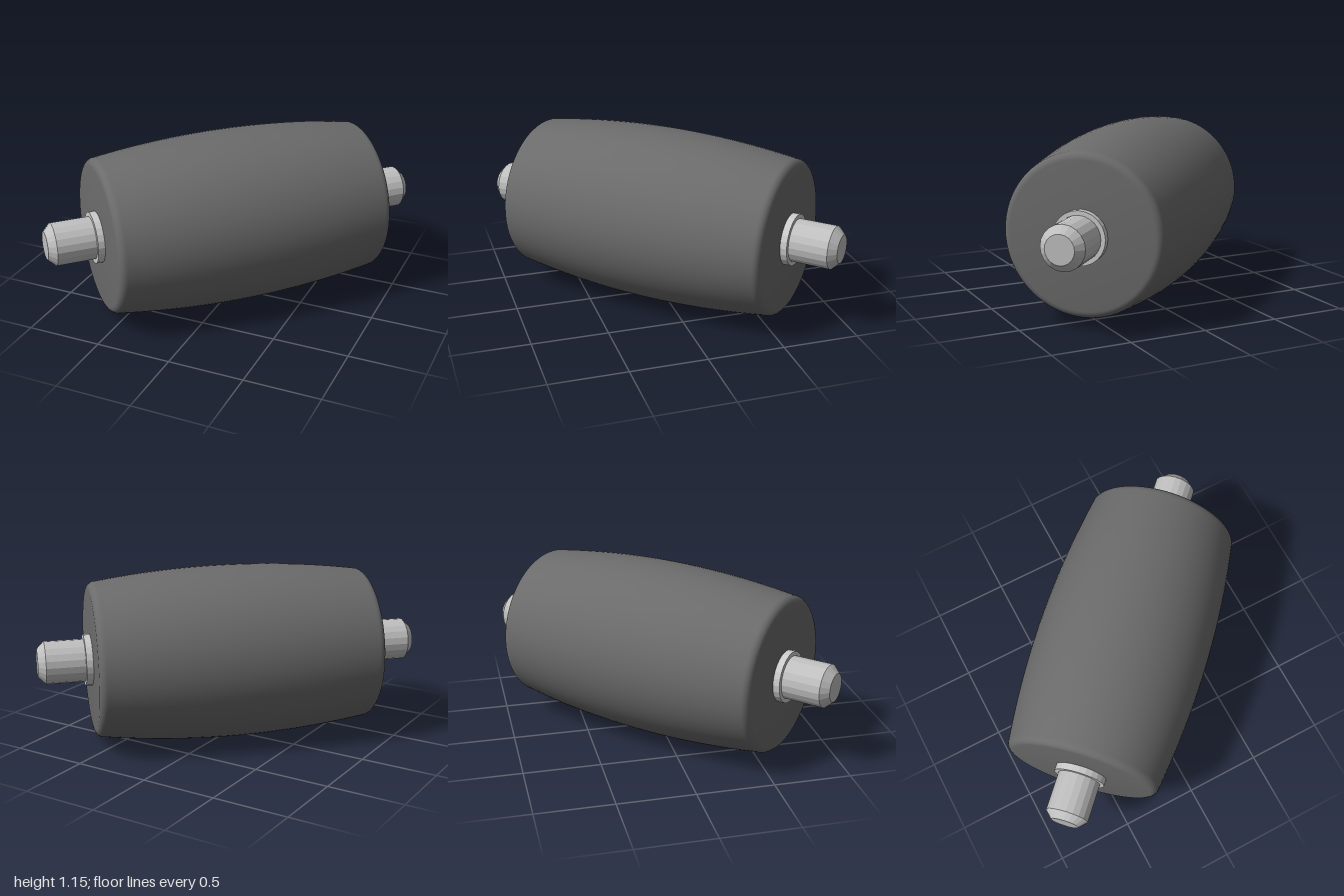
import * as THREE from 'three';
import { toCreasedNormals } from 'three/addons/utils/BufferGeometryUtils.js';

const rubber = new THREE.MeshStandardMaterial({ name: 'dark grey rubber', color: 0x6b6b6b });
const steel = new THREE.MeshStandardMaterial({ name: 'light grey steel', color: 0xc0c0c0 });
const ringSteel = new THREE.MeshStandardMaterial({ name: 'pale collar steel', color: 0xcccccc });

const RADIUS = 0.575;

// Turn a [radius, height] profile, listed from bottom to top, around the y axis
function turned(name, profile, sides, crease, material) {
  const points = profile.map(([r, h]) => new THREE.Vector2(r, h));
  const geometry = toCreasedNormals(new THREE.LatheGeometry(points, sides), crease);
  const mesh = new THREE.Mesh(geometry, material);
  mesh.name = name;
  return mesh;
}

// Upper half of the crowned roller, from the middle to the end face
function rollerHalf() {
  const half = [];
  for (let i = 0; i <= 10; i++) {
    const h = 0.088 * i;
    half.push([RADIUS - 0.084 * h * h, h]);
  }
  // Rounded rim
  const [edge, start] = half[half.length - 1];
  for (let i = 1; i <= 6; i++) {
    const a = (i / 6) * Math.PI / 2;
    half.push([edge - 0.05 * (1 - Math.cos(a)), start + 0.05 * Math.sin(a)]);
  }
  half.push([0, start + 0.05]);
  return half;
}

export function createModel() {
  const model = new THREE.Group();
  model.name = 'crownedRoller';

  const roller = new THREE.Group();
  roller.name = 'roller';
  model.add(roller);

  // Barrel mirrored about its middle
  const half = rollerHalf();
  const lower = half.slice(1).reverse().map(([r, h]) => [r, -h]);
  roller.add(turned('barrel', [...lower, ...half], 72, 0.6, rubber));

  // Axle stub with chamfered tip and a collar at each end
  for (const [side, turn] of [['right', 0], ['left', Math.PI]]) {
    const end = new THREE.Group();
    end.name = side + 'AxleEnd';
    end.rotation.x = turn;
    end.add(turned('axleStub', [[0.14, 0.9], [0.14, 1.227], [0.092, 1.276], [0, 1.276]], 20, 0.1, steel));
    end.add(turned('collar', [[0.168, 0.9], [0.168, 0.974], [0.14, 0.974]], 24, 0.1, ringSteel));
    roller.add(end);
  }

  // Lay the axis flat, diagonally from front right to back left
  roller.rotation.set(0, Math.PI / 4, -Math.PI / 2, 'YXZ');
  roller.position.y = RADIUS;
  return model;
}
